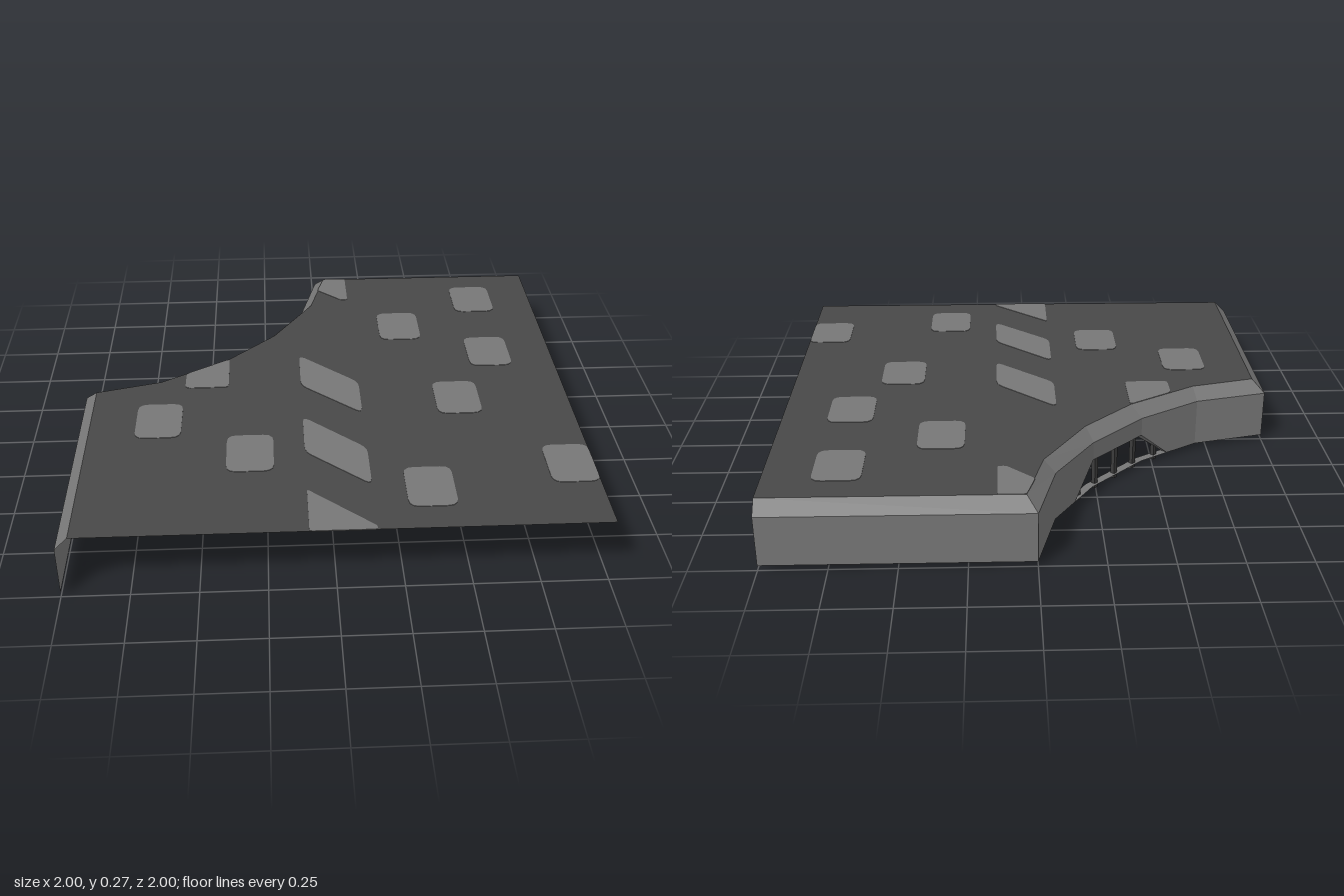
import * as THREE from 'three';

const TOP = 0.267, EDGE = 0.217, LOW = 0.02, ARCH = 0.14;

// Outer kerb line and the inset line of the deck, as [x, z]
const outer = [[-1, 1], [-1, 0], [-0.7, -0.075], [-0.45, -0.235], [-0.235, -0.45], [-0.075, -0.7], [0, -1], [1, -1]];
const inner = [[-0.95, 1], [-0.95, 0.04], [-0.685, -0.03], [-0.405, -0.205], [-0.205, -0.405], [-0.03, -0.685], [0.04, -0.95], [1, -0.95]];

const at = ([x, z], y) => [x, y, z];

// Flat-shaded surface from convex polygons, each split as a fan
function polygons(list) {
  const pos = [];
  for (const p of list)
    for (let i = 1; i < p.length - 1; i++) pos.push(...p[0], ...p[i], ...p[i + 1]);
  const g = new THREE.BufferGeometry();
  g.setAttribute('position', new THREE.Float32BufferAttribute(pos, 3));
  g.computeVertexNormals();
  return g;
}

// Thin plate from an [x, z] outline with softened corners
function plate(points, r) {
  const v = points.map(p => new THREE.Vector2(...p));
  const s = new THREE.Shape();
  v.forEach((p, i) => {
    const prev = v[(i + v.length - 1) % v.length], next = v[(i + 1) % v.length];
    const a = p.clone().lerp(prev, Math.min(0.4, r / p.distanceTo(prev)));
    const b = p.clone().lerp(next, Math.min(0.4, r / p.distanceTo(next)));
    if (i) s.lineTo(a.x, a.y); else s.moveTo(a.x, a.y);
    s.quadraticCurveTo(p.x, p.y, b.x, b.y);
  });
  s.closePath();
  return new THREE.ExtrudeGeometry(s, { depth: 0.004, bevelEnabled: false, curveSegments: 3 })
    .rotateX(Math.PI / 2).translate(0, TOP + 0.002, 0);
}

export function createModel() {
  const group = new THREE.Group();
  const material = (name, color) => new THREE.MeshStandardMaterial({ name, color, side: THREE.DoubleSide });
  const dark = material('dark grey', 0x484848);
  const light = material('light grey', 0x777777);
  const iron = material('iron grey', 0x3c3c3c);
  const add = (name, geometry, mat) => {
    const m = new THREE.Mesh(geometry, mat);
    m.name = name;
    group.add(m);
    return m;
  };

  // Deck
  const deck = new THREE.Shape([...inner, [1, 1]].map(p => new THREE.Vector2(...p)));
  add('deck', new THREE.ShapeGeometry(deck).rotateX(Math.PI / 2).translate(0, TOP, 0), dark);

  // Walls, with a drain opening across the three middle segments
  const footA = [-0.57, -0.158], footB = [-0.158, -0.57];
  const walls = [], bevels = [];
  for (let i = 0; i < outer.length - 1; i++) {
    const a = outer[i], b = outer[i + 1];
    const wall = [at(a, EDGE), at(b, EDGE)];
    if (i === 2) wall.push(at(b, ARCH), at(footA, LOW), at(a, LOW));
    else if (i === 3) wall.push(at(b, ARCH), at(a, ARCH));
    else if (i === 4) wall.push(at(b, LOW), at(footB, LOW), at(a, ARCH));
    else wall.push(at(b, LOW), at(a, LOW));
    walls.push(wall);
    bevels.push([at(a, EDGE), at(inner[i], TOP), at(inner[i + 1], TOP), at(b, EDGE)]);
  }
  add('walls', polygons(walls), light);
  add('bevel', polygons(bevels), light);

  // Narrow reveal around the opening
  const loop = [at(footA, LOW), at(outer[3], ARCH), at(outer[4], ARCH), at(footB, LOW), at(outer[4], LOW), at(outer[3], LOW)];
  const inset = ([x, y, z]) => [x + 0.025, y === ARCH ? y - 0.01 : y, z + 0.025];
  add('openingRim', polygons(loop.map((p, i) => {
    const q = loop[(i + 1) % loop.length];
    return [p, q, inset(q), inset(p)];
  })), light);

  // Grate bars
  const bars = [[-0.51, -0.17, 0.1], [-0.413, -0.245, 0.16], [-0.33, -0.33, 0.16], [-0.245, -0.413, 0.16], [-0.17, -0.51, 0.1]];
  for (const [x, z, h] of bars) {
    const bar = add('grateBar', new THREE.BoxGeometry(0.018, h, 0.018), iron);
    bar.position.set(x, h / 2, z);
    bar.rotation.y = Math.PI / 4;
  }

  // Rectangular paving patches, by their low x and low z corner
  const corners = [[0.636, -0.833], [0.267, -0.588], [0.636, -0.345], [0.45, 0.024], [0.818, 0.51],
    [0.267, 0.633], [-0.402, 0.388], [-0.767, 0.147]];
  for (const [x, z] of corners) {
    const X = x + 0.182, Z = z + 0.243;
    add('pavingPatch', plate([[x, z], [X, z], [X, Z], [x, Z]], 0.04), light);
  }
  // Patch cut by the curve
  add('edgePatch', plate([[-0.583, -0.092], [-0.402, -0.206], [-0.402, 0.024], [-0.583, 0.024]], 0.02), light);

  // Slanted patches along the centre strip
  for (const z of [-0.22, 0.267])
    add('slantedPatch', plate([[-0.1, z], [0.143, z + 0.23], [0.143, z + 0.468], [-0.1, z + 0.245]], 0.035), light);
  add('frontSlantedPatch', plate([[-0.1, 0.755], [0.143, 0.98], [0.143, 1], [-0.1, 1]], 0.012), light);
  add('backSlantedPatch', plate([[0.04, -0.95], [0.143, -0.95], [0.143, -0.735], [0.11, -0.735], [0.006, -0.835]], 0.01), light);

  return group;
}
